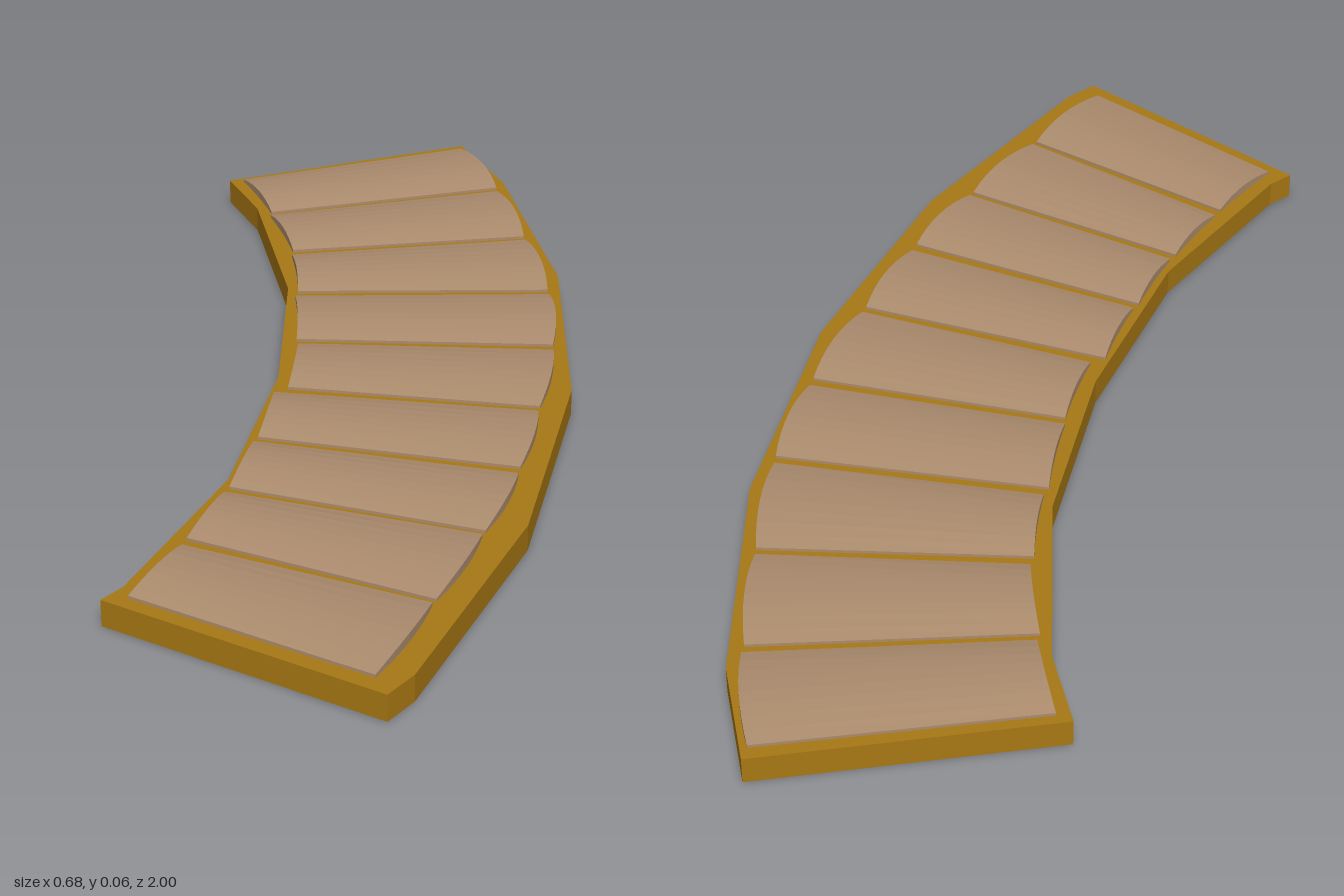
import * as THREE from 'three';

const BASE_TOP = 0.045;
const TILE_EDGE = 0.05;
const TILE_CROWN = 0.06;
const STRIPS = 8;

// Plan outline of the curved base as [x, z]
const outline = [
  [0.10, -1.0], [0.19, -0.82], [0.305, -0.40], [0.338, 0.05], [0.28, 0.51], [0.135, 0.945], [0.10, 1.0],
  [-0.338, 0.78], [-0.31, 0.74], [-0.195, 0.40], [-0.155, 0.04], [-0.175, -0.31], [-0.27, -0.66], [-0.338, -0.79],
];

// Each tile: inner start, outer start, inner end, outer end as x, z
const tiles = [
  [-0.31, -0.785, 0.10, -0.975, -0.24, -0.635, 0.178, -0.785],
  [-0.24, -0.62, 0.18, -0.768, -0.182, -0.465, 0.238, -0.56],
  [-0.182, -0.445, 0.242, -0.545, -0.155, -0.29, 0.288, -0.33],
  [-0.158, -0.27, 0.292, -0.312, -0.138, -0.097, 0.303, -0.11],
  [-0.134, -0.08, 0.304, -0.09, -0.134, 0.085, 0.287, 0.122],
  [-0.155, 0.105, 0.285, 0.138, -0.164, 0.265, 0.262, 0.333],
  [-0.17, 0.28, 0.26, 0.354, -0.19, 0.434, 0.216, 0.54],
  [-0.196, 0.45, 0.212, 0.551, -0.235, 0.598, 0.153, 0.747],
  [-0.24, 0.618, 0.148, 0.757, -0.298, 0.773, 0.08, 0.958],
];

// Shallow arched slab, built strip by strip from its start edge to its end edge
function tileGeometry([ax, az, bx, bz, cx, cz, dx, dz]) {
  const positions = [];
  const quad = (p, q, r, s) => [p, q, r, p, r, s].forEach((v) => positions.push(...v));
  const section = (t) => {
    const arch = 4 * t * (1 - t);
    const y = TILE_EDGE + (TILE_CROWN - TILE_EDGE) * arch;
    const inner = [ax + (cx - ax) * t + 0.003 * arch, az + (cz - az) * t];
    const outer = [bx + (dx - bx) * t + 0.008 * arch, bz + (dz - bz) * t];
    const at = ([x, z], h) => [x, h, z];
    return {
      a: at(inner, y), b: at(outer, y),
      aLow: at(inner, BASE_TOP - 0.005), bLow: at(outer, BASE_TOP - 0.005),
    };
  };
  for (let i = 0; i < STRIPS; i++) {
    const s = section(i / STRIPS);
    const e = section((i + 1) / STRIPS);
    quad(s.a, e.a, e.b, s.b);
    quad(s.aLow, e.aLow, e.a, s.a);
    quad(e.bLow, s.bLow, s.b, e.b);
    quad(s.aLow, s.bLow, e.bLow, e.aLow);
    if (i === 0) quad(s.bLow, s.aLow, s.a, s.b);
    if (i === STRIPS - 1) quad(e.aLow, e.bLow, e.b, e.a);
  }
  const geometry = new THREE.BufferGeometry();
  geometry.setAttribute('position', new THREE.Float32BufferAttribute(positions, 3));
  geometry.computeVertexNormals();
  return geometry;
}

export function createModel() {
  const model = new THREE.Group();
  model.name = 'curvedPath';
  const baseMaterial = new THREE.MeshStandardMaterial({ color: 0xa87814, flatShading: true });
  const tileMaterial = new THREE.MeshStandardMaterial({ color: 0xac8c6e, flatShading: true });

  // Flat curved base
  const shape = new THREE.Shape(outline.map(([x, z]) => new THREE.Vector2(x, z)));
  const baseGeometry = new THREE.ExtrudeGeometry(shape, { depth: BASE_TOP, bevelEnabled: false });
  baseGeometry.rotateX(Math.PI / 2).translate(0, BASE_TOP, 0);
  const base = new THREE.Mesh(baseGeometry, baseMaterial);
  base.name = 'base';
  model.add(base);

  // Row of arched tiles
  tiles.forEach((corners, i) => {
    const tile = new THREE.Mesh(tileGeometry(corners), tileMaterial);
    tile.name = `tile${i + 1}`;
    model.add(tile);
  });
  return model;
}
